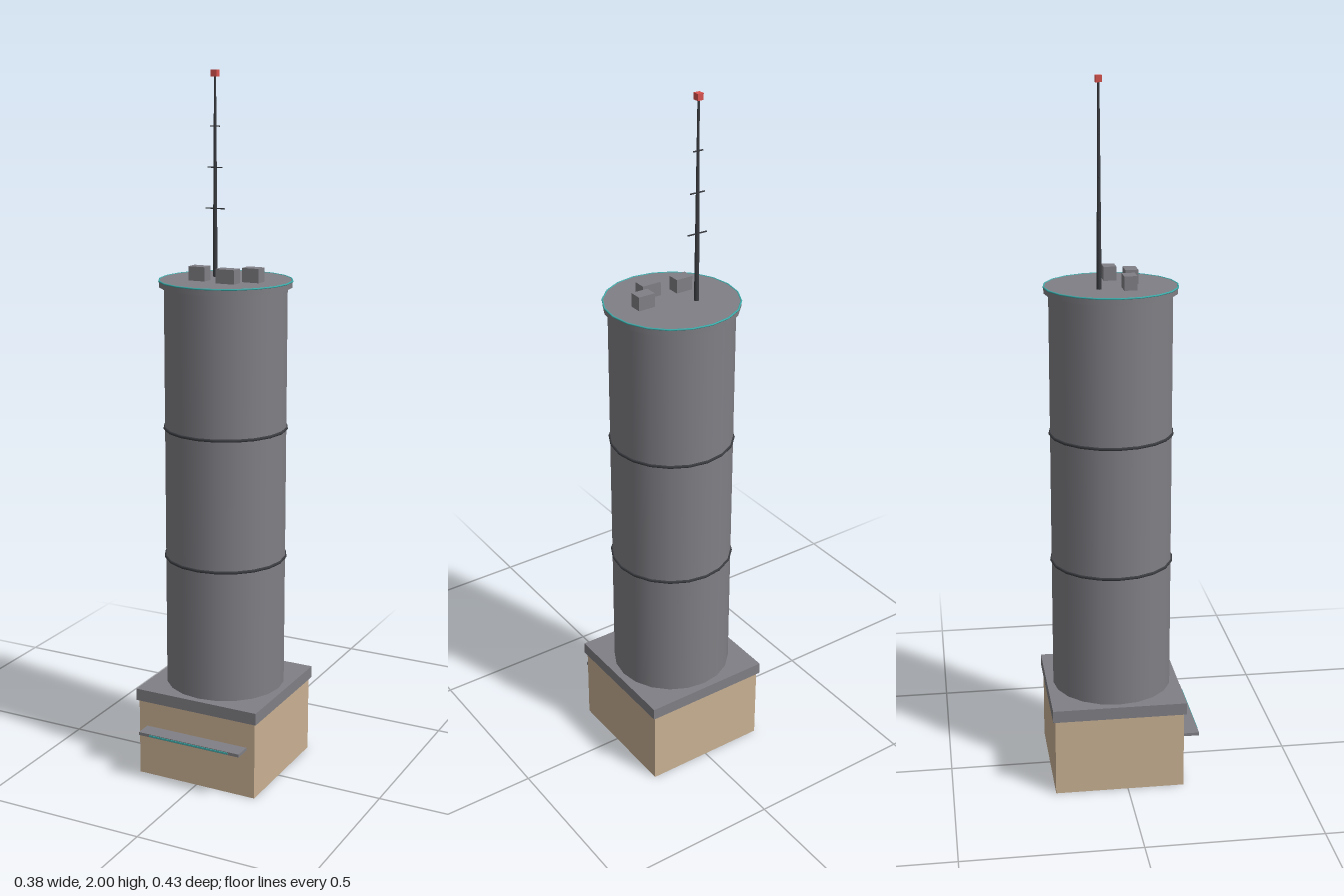
import * as THREE from 'three';

const CZ = -0.023; // tower axis in z

function mat(name, color, side = THREE.FrontSide) {
  const m = new THREE.MeshStandardMaterial({ color, side });
  m.name = name;
  return m;
}

export function createModel() {
  const group = new THREE.Group();
  const grey = mat('concreteGrey', 0x807f85);
  const tan = mat('sandstone', 0xc9b193, THREE.DoubleSide);
  const dark = mat('darkMetal', 0x3a3c40);
  const teal = mat('tealTrim', 0x3fb0ae);
  const red = mat('beaconRed', 0xd9534f);

  const add = (name, geo, material, x, y, z) => {
    const mesh = new THREE.Mesh(geo, material);
    mesh.name = name;
    mesh.position.set(x, y, z);
    group.add(mesh);
    return mesh;
  };
  const box = (name, m, w, h, d, x, y, z) => add(name, new THREE.BoxGeometry(w, h, d), m, x, y, z);
  const ring = (name, m, r, tube, y) =>
    add(name, new THREE.TorusGeometry(r, tube, 6, 20).rotateX(Math.PI / 2).rotateY(Math.PI / 2), m, 0, y, CZ);

  // Square podium: four walls, open underneath
  for (let i = 0; i < 4; i++) {
    const a = (i * Math.PI) / 2;
    const wall = add('podiumWall', new THREE.PlaneGeometry(0.37, 0.23), tan,
      Math.sin(a) * 0.185, 0.115, CZ + Math.cos(a) * 0.185);
    wall.rotation.y = a;
  }
  box('podiumSlab', grey, 0.383, 0.035, 0.383, 0, 0.2445, CZ);

  // Entrance canopy with a trim strip along its front edge
  box('canopy', grey, 0.32, 0.009, 0.05, 0, 0.146, 0.186);
  box('canopyTrim', teal, 0.25, 0.005, 0.002, 0, 0.146, 0.212);

  // Round shaft, floor bands and roof
  add('shaft', new THREE.CylinderGeometry(0.172, 0.172, 1.16, 20), grey, 0, 0.842, CZ);
  for (const y of [0.645, 1.022]) ring('floorBand', dark, 0.172, 0.0045, y);
  add('roofCap', new THREE.CylinderGeometry(0.185, 0.185, 0.018, 20), grey, 0, 1.429, CZ);
  ring('roofTrim', teal, 0.185, 0.0025, 1.437);

  // Rooftop units
  for (const [x, z, w] of [[-0.059, 0.02, 0.05], [0.036, 0.036, 0.057], [0.087, -0.017, 0.05]])
    box('rooftopUnit', grey, w, 0.039, 0.036, x, 1.4575, z);

  // Antenna mast, crossbars and beacon
  const [ax, az] = [-0.053, -0.062];
  add('mast', new THREE.CylinderGeometry(0.003, 0.007, 0.55, 8), dark, ax, 1.712, az);
  for (const [y, w] of [[1.627, 0.06], [1.739, 0.045], [1.85, 0.03]])
    box('crossbar', dark, w, 0.003, 0.003, ax, y, az);
  box('beacon', red, 0.018, 0.018, 0.018, ax, 1.991, az);

  return group;
}
